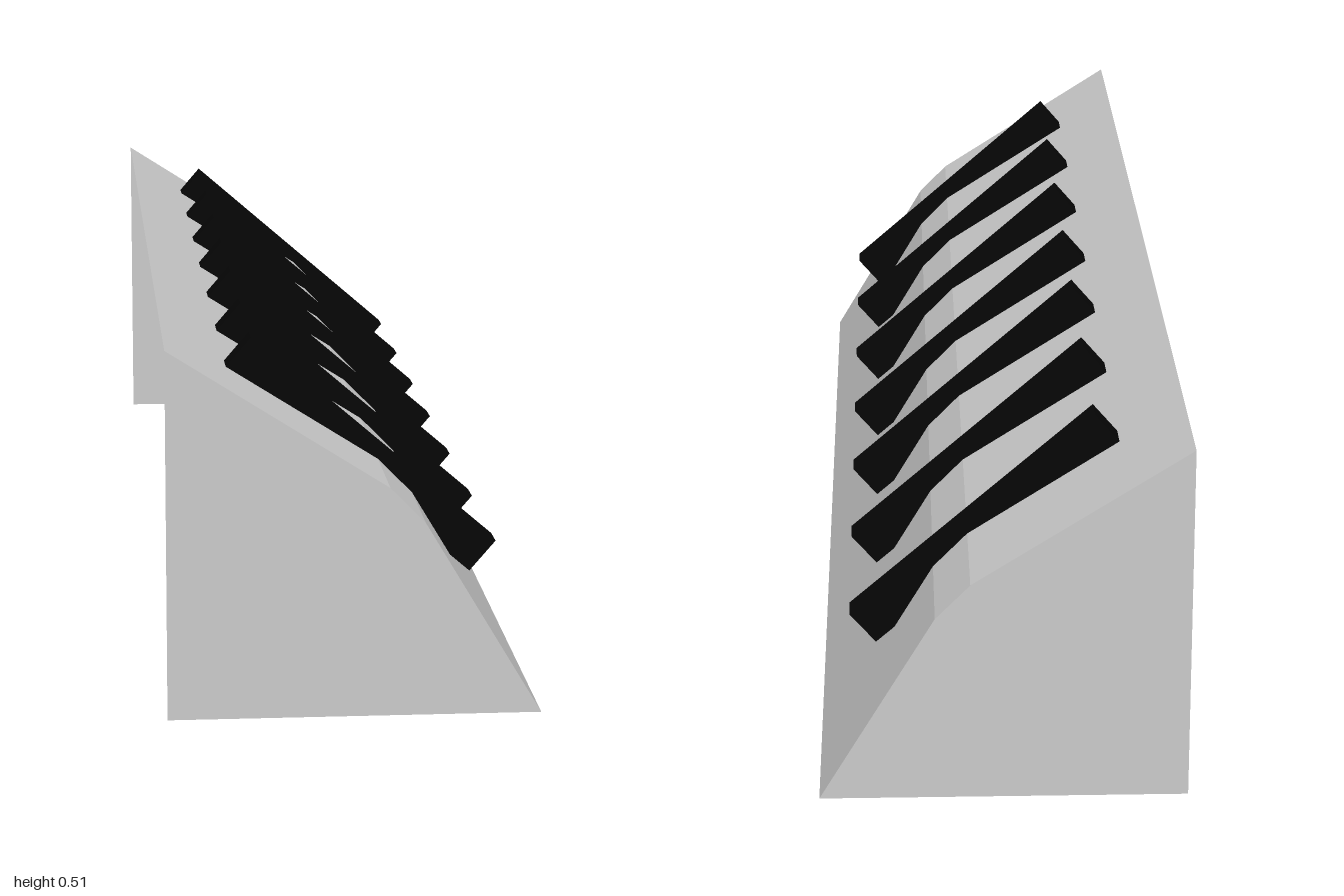
import * as THREE from 'three';

export function createModel() {
  const model = new THREE.Group();
  const grey = new THREE.MeshStandardMaterial({ color: 0xcccccc, flatShading: true, side: THREE.DoubleSide });
  const black = new THREE.MeshStandardMaterial({ color: 0x060606, flatShading: true });

  // Sloped profile from the top back edge down to the front foot
  const profile = [[-0.254, 0.508], [0.046, 0.317], [0.094, 0.268], [0.254, 0]];

  // Sloped faces, open at the back and underneath
  const corners = [];
  for (let i = 0; i < profile.length - 1; i++) {
    const [ax, ay] = profile[i], [bx, by] = profile[i + 1];
    corners.push(ax, ay, -1, ax, ay, 1, bx, by, 1);
    corners.push(ax, ay, -1, bx, by, 1, bx, by, -1);
  }
  const slopeGeometry = new THREE.BufferGeometry();
  slopeGeometry.setAttribute('position', new THREE.Float32BufferAttribute(corners, 3));
  slopeGeometry.computeVertexNormals();
  const slope = new THREE.Mesh(slopeGeometry, grey);
  slope.name = 'slopedFaces';
  model.add(slope);

  // Flat end panels
  const outline = new THREE.Shape(
    [[-0.254, 0], ...profile].map(([x, y]) => new THREE.Vector2(x, y)));
  const panelGeometry = new THREE.ShapeGeometry(outline);
  for (const side of [1, -1]) {
    const panel = new THREE.Mesh(panelGeometry, grey);
    panel.name = side > 0 ? 'frontEndPanel' : 'backEndPanel';
    // Half turn by mirroring keeps the outline and flips the facing
    panel.scale.z = side;
    panel.position.z = side;
    model.add(panel);
  }

  // Dark bars sunk into the ridge, turned very slightly
  const barGeometry = new THREE.BoxGeometry(0.452, 0.056, 0.042);
  [-0.8, -0.52, -0.25, 0.007, 0.277, 0.55, 0.81].forEach((z, i) => {
    const bar = new THREE.Mesh(barGeometry, black);
    bar.name = `bar${i + 1}`;
    bar.position.set(0.0225, 0.3225, z);
    bar.rotation.set(0, 0.012, -0.712, 'YXZ');
    model.add(bar);
  });

  return model;
}
